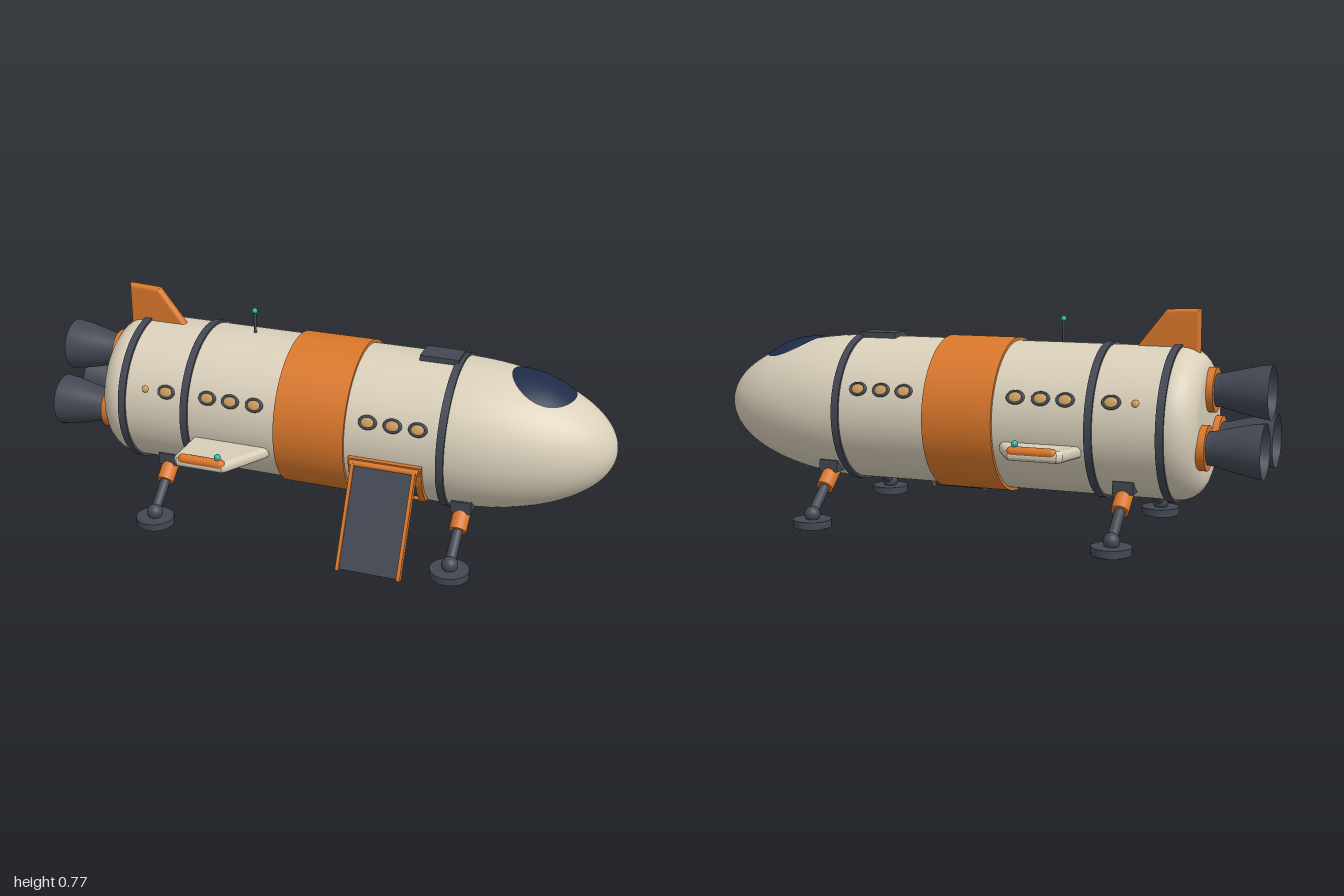
import * as THREE from 'three';

const flat = (name, color, extra = {}) => Object.assign(new THREE.MeshStandardMaterial({ color, ...extra }), { name });

const R = 0.257, AXIS_Y = 0.388, NOSE_X = 0.46, NOSE_LEN = 0.54;

export function createModel() {
  const cream = flat('cream hull', 0xd9cfba);
  const orange = flat('orange trim', 0xd9772b);
  const dark = flat('dark metal', 0x424752);
  const darkOpen = flat('dark metal shell', 0x424752, { side: THREE.DoubleSide });
  const navy = flat('navy glass', 0x1f2c4a);
  const amber = flat('amber glass', 0xcf9f5c);
  const teal = flat('teal lamp', 0x25b8a5);

  const model = new THREE.Group();
  model.name = 'shuttle';
  const ship = new THREE.Group();
  ship.name = 'ship';
  ship.position.z = -0.003;
  model.add(ship);

  const add = (name, geo, mat, x = 0, y = 0, z = 0, parent = ship) => {
    const mesh = new THREE.Mesh(geo, mat);
    mesh.name = name;
    mesh.position.set(x, y, z);
    parent.add(mesh);
    return mesh;
  };
  // Turned shape along x, from [x, radius] pairs
  const turned = (pts, segs = 64) =>
    new THREE.LatheGeometry(pts.map(([x, r]) => new THREE.Vector2(r, x)), segs).rotateZ(-Math.PI / 2);
  // Cylinder between two points
  const rod = (name, a, b, r, mat) => {
    const d = b.clone().sub(a), mid = a.clone().lerp(b, 0.5);
    const m = add(name, new THREE.CylinderGeometry(r, r, d.length(), 24), mat, mid.x, mid.y, mid.z);
    m.quaternion.setFromUnitVectors(new THREE.Vector3(0, 1, 0), d.normalize());
    return m;
  };
  // Flat outline with rounded edges, centred on its thickness
  const plate = (pts, thick, bevel) => {
    const shape = new THREE.Shape(pts.map(([x, y]) => new THREE.Vector2(x, y)));
    const depth = thick - 2 * bevel;
    return new THREE.ExtrudeGeometry(shape, {
      depth, bevelThickness: bevel, bevelSize: bevel, bevelOffset: -bevel, bevelSegments: 4,
    }).translate(0, 0, -depth / 2);
  };

  // Hull: rounded stern, straight barrel, elliptical nose
  const noseRadius = (x) => R * Math.sqrt(Math.max(0, 1 - ((x - NOSE_X) / NOSE_LEN) ** 2));
  const profile = [[-0.795, 0], [-0.795, 0.17]];
  for (let i = 1; i <= 8; i++) {
    const a = (i / 8) * Math.PI / 2;
    profile.push([-0.705 - 0.09 * Math.cos(a), 0.17 + (R - 0.17) * Math.sin(a)]);
  }
  for (let i = 0; i <= 28; i++) {
    const a = (i / 28) * Math.PI / 2;
    profile.push([NOSE_X + NOSE_LEN * Math.sin(a), i === 28 ? 0 : R * Math.cos(a)]);
  }
  add('hull', turned(profile, 80), cream, 0, AXIS_Y);

  // Bands around the hull
  const band = (name, x, w, r, mat) =>
    add(name, new THREE.CylinderGeometry(r, r, w, 80).rotateZ(Math.PI / 2), mat, x, AXIS_Y);
  band('middleBand', 0.005, 0.25, 0.268, orange);
  for (const x of [-0.69, -0.453, 0.461]) band('hullRing', x, 0.026, 0.2655, dark);

  // Windscreen: an oval laid over the nose with a slight bulge
  const pane = new THREE.RingGeometry(0.0001, 1, 48, 12).rotateX(-Math.PI / 2);
  const p = pane.attributes.position;
  for (let i = 0; i < p.count; i++) {
    const u = p.getX(i), v = p.getZ(i);
    const x = 0.743 + 0.108 * u, z = 0.118 * v;
    p.setXYZ(i, x, Math.sqrt(noseRadius(x) ** 2 - z * z) + 0.003 + 0.012 * (1 - u * u - v * v), z);
  }
  pane.computeVertexNormals();
  add('windscreen', pane, navy, 0, AXIS_Y);

  // Oval portholes and a small lamp along both sides
  const tilt = Math.asin(0.093 / R);
  for (const s of [1, -1]) {
    const row = new THREE.Group();
    row.name = s > 0 ? 'leftPortholes' : 'rightPortholes';
    row.position.y = AXIS_Y;
    row.rotation.x = s * (Math.PI / 2 - tilt);
    ship.add(row);
    for (const x of [-0.525, -0.37, -0.285, -0.197, 0.207, 0.293, 0.38]) {
      add('portholeRim', new THREE.TorusGeometry(0.027, 0.006, 8, 32).rotateX(Math.PI / 2), dark, x, R, 0, row).scale.z = 0.76;
      add('portholePane', new THREE.SphereGeometry(0.026, 24, 12), amber, x, R, 0, row).scale.set(1, 0.25, 0.76);
    }
    add('sideLamp', new THREE.SphereGeometry(0.013, 16, 10), amber, -0.605, R - 0.002, 0, row).scale.y = 0.6;
  }

  // Three engines
  for (let i = 0; i < 3; i++) {
    const a = Math.PI / 2 + (i * 2 * Math.PI) / 3;
    const y = AXIS_Y + 0.118 * Math.sin(a), z = 0.128 * Math.cos(a);
    add('engineCollar', new THREE.CylinderGeometry(0.075, 0.075, 0.035, 40).rotateZ(Math.PI / 2), orange, -0.8, y, z);
    add('engineNozzle', turned([[-1, 0.091], [-0.96, 0.086], [-0.9, 0.073], [-0.85, 0.06], [-0.81, 0.053]], 40), darkOpen, 0, y, z);
    add('engineThroat', new THREE.CylinderGeometry(0.056, 0.056, 0.02, 32).rotateZ(Math.PI / 2), dark, -0.83, y, z);
  }

  // Tail fin, roof hatch and antenna
  add('tailFin', plate([[-0.76, 0.6], [-0.76, 0.773], [-0.645, 0.768], [-0.545, 0.64], [-0.545, 0.6]], 0.033, 0.012), orange);
  add('roofHatch', new THREE.BoxGeometry(0.135, 0.04, 0.093), dark, 0.393, 0.64, -0.003);
  rod('antennaMast', new THREE.Vector3(-0.285, 0.63, 0), new THREE.Vector3(-0.285, 0.72, 0), 0.005, dark);
  add('antennaLamp', new THREE.SphereGeometry(0.01, 16, 12), teal, -0.285, 0.725);

  // Wings with tip pods and lamps
  for (const s of [1, -1]) {
    const wing = plate([[-0.43, 0.18], [-0.13, 0.18], [-0.148, 0.26], [-0.225, 0.415], [-0.24, 0.432], [-0.405, 0.432], [-0.42, 0.415]], 0.04, 0.017);
    wing.rotateX(Math.PI / 2).translate(0, 0, -0.26).rotateX(-0.07).translate(0, 0.312, 0.26);
    const side = new THREE.Group();
    side.name = s > 0 ? 'leftWing' : 'rightWing';
    if (s < 0) side.rotation.y = Math.PI;
    ship.add(side);
    // The far wing is turned half round, so its outline is flipped along x
    if (s < 0) {
      wing.scale(-1, 1, 1);
      const q = wing.attributes.position, n = wing.attributes.normal;
      for (const at of [q, n]) {
        for (let i = 0; i < at.count; i += 3) {
          const b = [at.getX(i + 1), at.getY(i + 1), at.getZ(i + 1)];
          at.setXYZ(i + 1, at.getX(i + 2), at.getY(i + 2), at.getZ(i + 2));
          at.setXYZ(i + 2, ...b);
        }
      }
      wing.computeVertexNormals();
    }
    add('wing', wing, cream, 0, 0, 0, side);
    add('tipPod', new THREE.CapsuleGeometry(0.017, 0.135, 8, 20).rotateZ(Math.PI / 2), orange, -0.318 * s, 0.333, 0.417, side);
    add('tipLamp', new THREE.SphereGeometry(0.0115, 16, 12), teal, -0.26 * s, 0.357, 0.415, side);
  }

  // Four landing legs
  for (const x of [-0.555, 0.524]) {
    for (const s of [1, -1]) {
      const ankle = new THREE.Vector3(x, 0.045, 0.318 * s), hip = new THREE.Vector3(x, 0.19, 0.142 * s);
      add('legMount', new THREE.BoxGeometry(0.07, 0.042, 0.06), dark, x, 0.193, 0.165 * s);
      rod('legSleeve', ankle.clone().lerp(hip, 0.53), hip, 0.03, orange);
      rod('legStrut', ankle, hip, 0.018, dark);
      add('ankle', new THREE.SphereGeometry(0.028, 24, 16), dark, ankle.x, ankle.y, ankle.z);
      add('foot', new THREE.CylinderGeometry(0.067, 0.067, 0.026, 40), dark, x, 0.0155, ankle.z);
      add('footSole', new THREE.CylinderGeometry(0.063, 0.063, 0.005, 40), dark, x, 0.0025, ankle.z);
    }
  }

  // Doorway: curved orange frame around a dark opening
  const shell = (name, r, x0, x1, a0, a1, mat) => {
    const ring = new THREE.Shape();
    ring.absarc(0, 0, r, a0, a1, false);
    ring.absarc(0, 0, 0.245, a1, a0, true);
    const geo = new THREE.ExtrudeGeometry(ring, { depth: x1 - x0, bevelEnabled: false, curveSegments: 16 });
    add(name, geo.rotateY(-Math.PI / 2).translate(x1, 0, 0), mat, 0, AXIS_Y);
  };
  shell('doorway', 0.261, 0.16, 0.39, -0.82, -0.14, dark);
  shell('doorFrameFront', 0.271, 0.38, 0.402, -0.84, -0.12, orange);
  shell('doorFrameBack', 0.271, 0.148, 0.17, -0.84, -0.12, orange);
  shell('doorFrameTop', 0.271, 0.148, 0.402, -0.19, -0.12, orange);
  shell('doorFrameBottom', 0.271, 0.148, 0.402, -0.84, -0.77, orange);

  // Boarding ramp
  const ramp = new THREE.Group();
  ramp.name = 'ramp';
  ramp.position.set(0.275, 0.177, 0.35);
  ramp.rotation.x = -0.465;
  ship.add(ramp);
  add('rampDeck', new THREE.BoxGeometry(0.205, 0.35, 0.014), dark, 0, 0, 0, ramp);
  for (const s of [1, -1]) add('rampRail', new THREE.BoxGeometry(0.012, 0.36, 0.024), orange, 0.106 * s, 0, 0, ramp);
  rod('rampHinge', new THREE.Vector3(0.155, 0.338, 0.268), new THREE.Vector3(0.395, 0.338, 0.268), 0.012, orange);

  return model;
}
